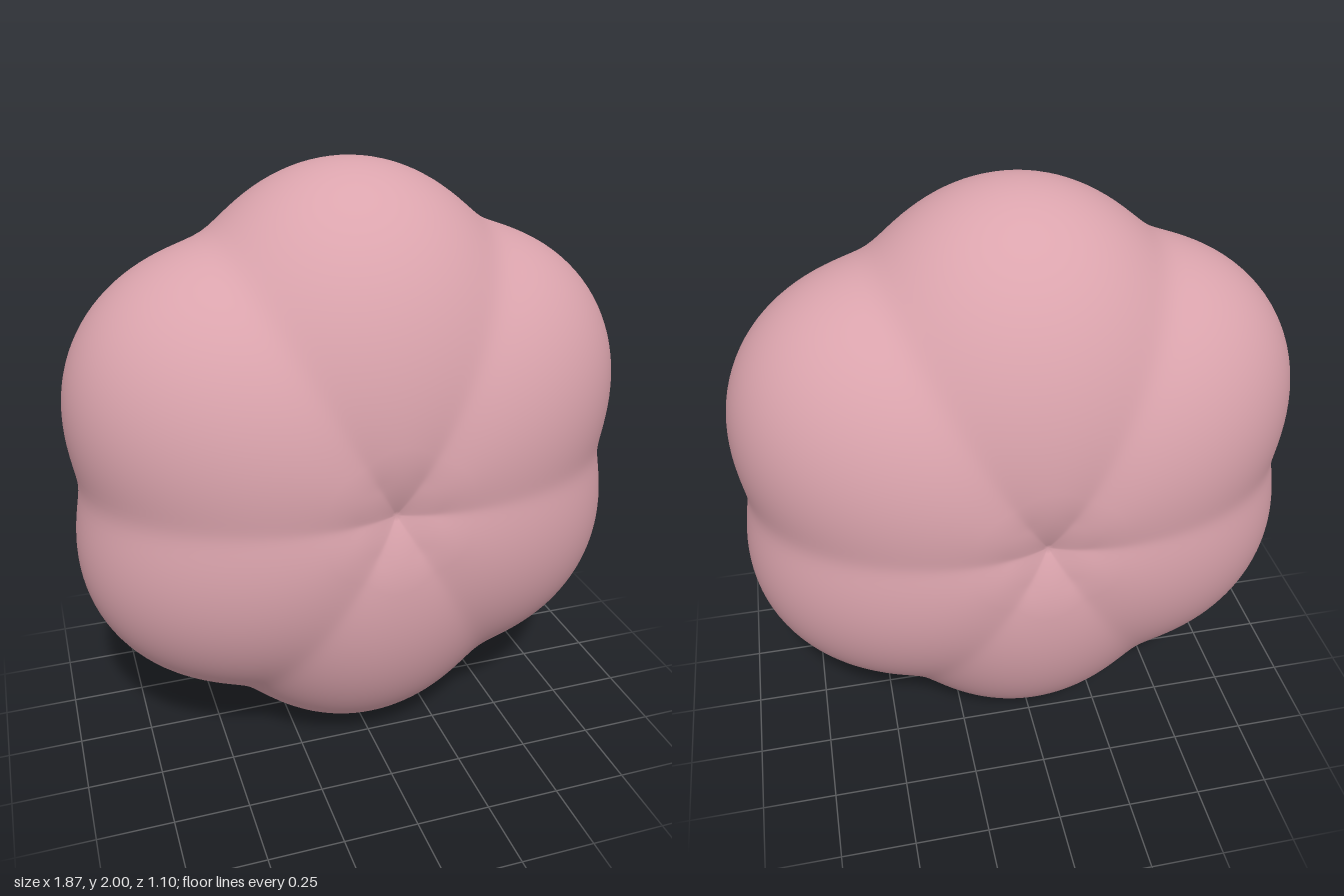
import * as THREE from 'three';
import { mergeVertices } from 'three/addons/utils/BufferGeometryUtils.js';

const LOBES = 6;
const RIM = 0.25;      // radius at which the body is thickest
const HALF = 0.55;     // half thickness
const DIMPLE = 0.06;   // depth of the pinch at each pole

// 0 in the grooves, 1 on the crest of each lobe, with a softly rounded groove
function lobe(angle) {
  const s = Math.sin(angle * LOBES / 2), e = 0.2;
  return (Math.sqrt(s * s + e * e) - e) / (Math.sqrt(1 + e * e) - e);
}

// Cross-section from the back pole, round the rim, to the front pole
function profile() {
  const dimple = [];
  for (let i = 0; i < 14; i++) {
    const u = i / 14;
    dimple.push([RIM * u, HALF - DIMPLE * (1 - u) ** 2]);
  }
  const points = dimple.map(([r, z]) => new THREE.Vector2(r, -z));
  for (let i = 0; i <= 72; i++) {
    const t = Math.PI * i / 72;
    points.push(new THREE.Vector2(RIM + (1 - RIM) * Math.sin(t), -HALF * Math.cos(t)));
  }
  dimple.reverse().forEach(([r, z]) => points.push(new THREE.Vector2(r, z)));
  return points;
}

function lobedBody() {
  let geometry = new THREE.LatheGeometry(profile(), 192);
  geometry.rotateX(Math.PI / 2);
  const p = geometry.attributes.position;
  for (let i = 0; i < p.count; i++) {
    const x = p.getX(i), y = p.getY(i), r = Math.hypot(x, y);
    const f = lobe(Math.atan2(y, x));
    const radial = 0.91 + 0.09 * f;
    const depth = 1 - 0.02 * (1 - f) * Math.min(1, r / 0.15);
    p.setXYZ(i, x * radial, y * radial, p.getZ(i) * depth);
  }
  // Weld the seam and poles for smooth shading
  geometry.deleteAttribute('uv');
  geometry.deleteAttribute('normal');
  geometry = mergeVertices(geometry, 1e-5);
  geometry.computeVertexNormals();
  return geometry;
}

export function createModel() {
  const group = new THREE.Group();
  group.name = 'lobedCushion';
  const pink = new THREE.MeshStandardMaterial({ color: 0xdba4ad });
  pink.name = 'dustyPink';
  const body = new THREE.Mesh(lobedBody(), pink);
  body.name = 'lobedBody';
  body.position.y = 1;
  group.add(body);
  return group;
}
